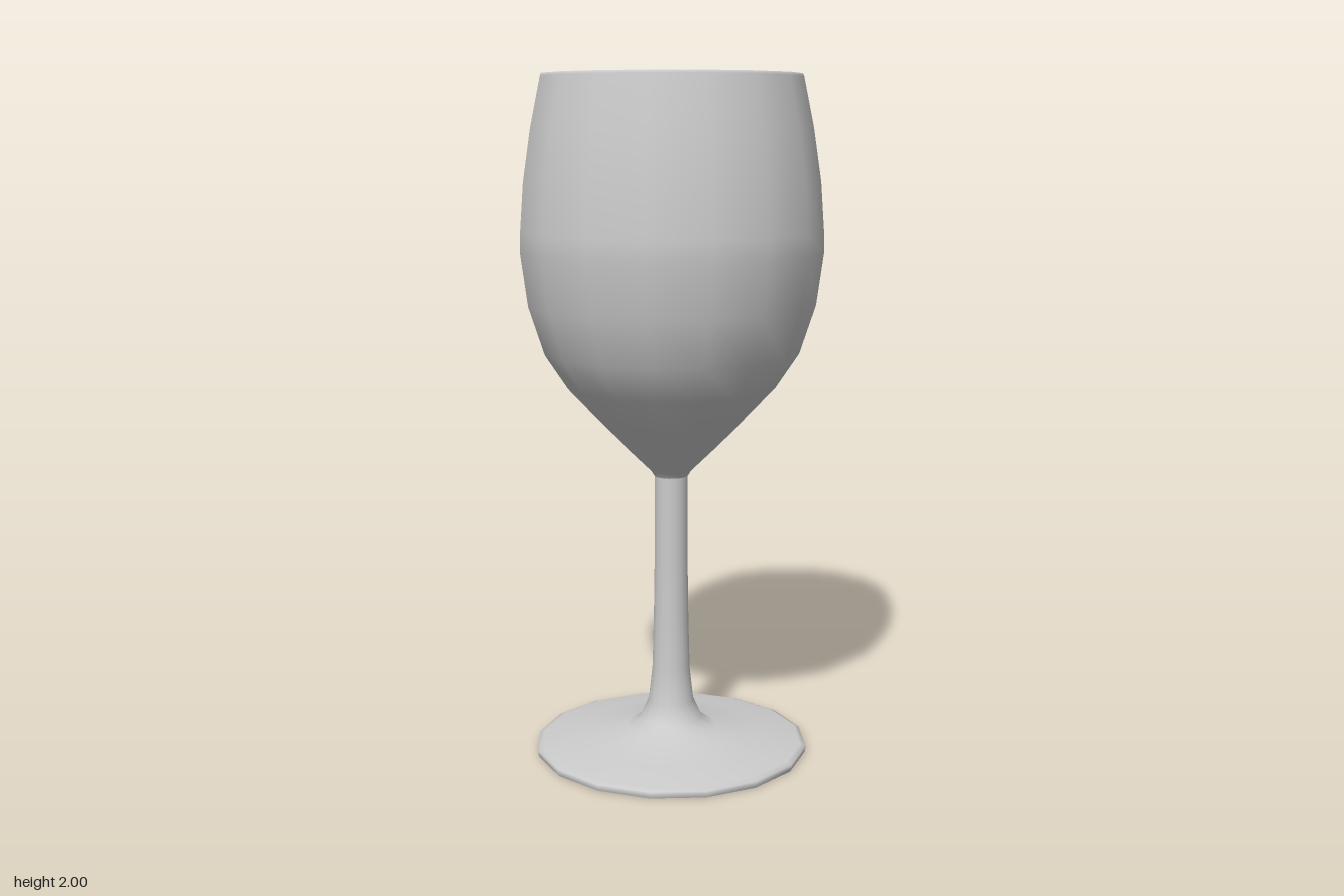
import * as THREE from 'three';

const SIDES = 16;
const material = new THREE.MeshStandardMaterial({ color: 0xcccccc });

// Profile radii are measured to the flats, which face the axes
const toCorner = 1 / Math.cos(Math.PI / SIDES);

function lathe(name, profile) {
  const points = profile.map(([r, y]) => new THREE.Vector2(r * toCorner, y));
  const mesh = new THREE.Mesh(new THREE.LatheGeometry(points, SIDES, Math.PI / SIDES), material);
  mesh.name = name;
  return mesh;
}

export function createModel() {
  const group = new THREE.Group();
  group.name = 'wineGlass';

  // Flat underside, edge, and foot sweeping up into the stem
  group.add(lathe('footUnderside', [[0, 0], [0.397, 0]]));
  group.add(lathe('footAndStem', [
    [0.397, 0], [0.4, 0.008], [0.4, 0.02], [0.385, 0.026], [0.28, 0.043], [0.13, 0.067],
    [0.09, 0.095], [0.066, 0.15], [0.055, 0.25], [0.051, 0.4], [0.048, 0.6], [0.048, 0.845],
  ]));

  // Bowl: up the outer wall, over the rim, down the inner wall
  const outer = [
    [0.048, 0.84], [0.058, 0.856], [0.12, 0.918], [0.2, 1.0], [0.3, 1.11], [0.365, 1.21],
    [0.41, 1.35], [0.43, 1.5], [0.429, 1.56], [0.419, 1.7], [0.397, 1.85], [0.368, 1.992],
  ];
  const rim = [[0.365, 2], [0.358, 2], [0.355, 1.992]];
  const inner = [
    [0.384, 1.85], [0.406, 1.7], [0.416, 1.55], [0.416, 1.5], [0.396, 1.36], [0.352, 1.225],
    [0.288, 1.125], [0.19, 1.015], [0.11, 0.935], [0.045, 0.885], [0, 0.875],
  ];
  group.add(lathe('bowl', [...outer, ...rim, ...inner]));

  return group;
}
